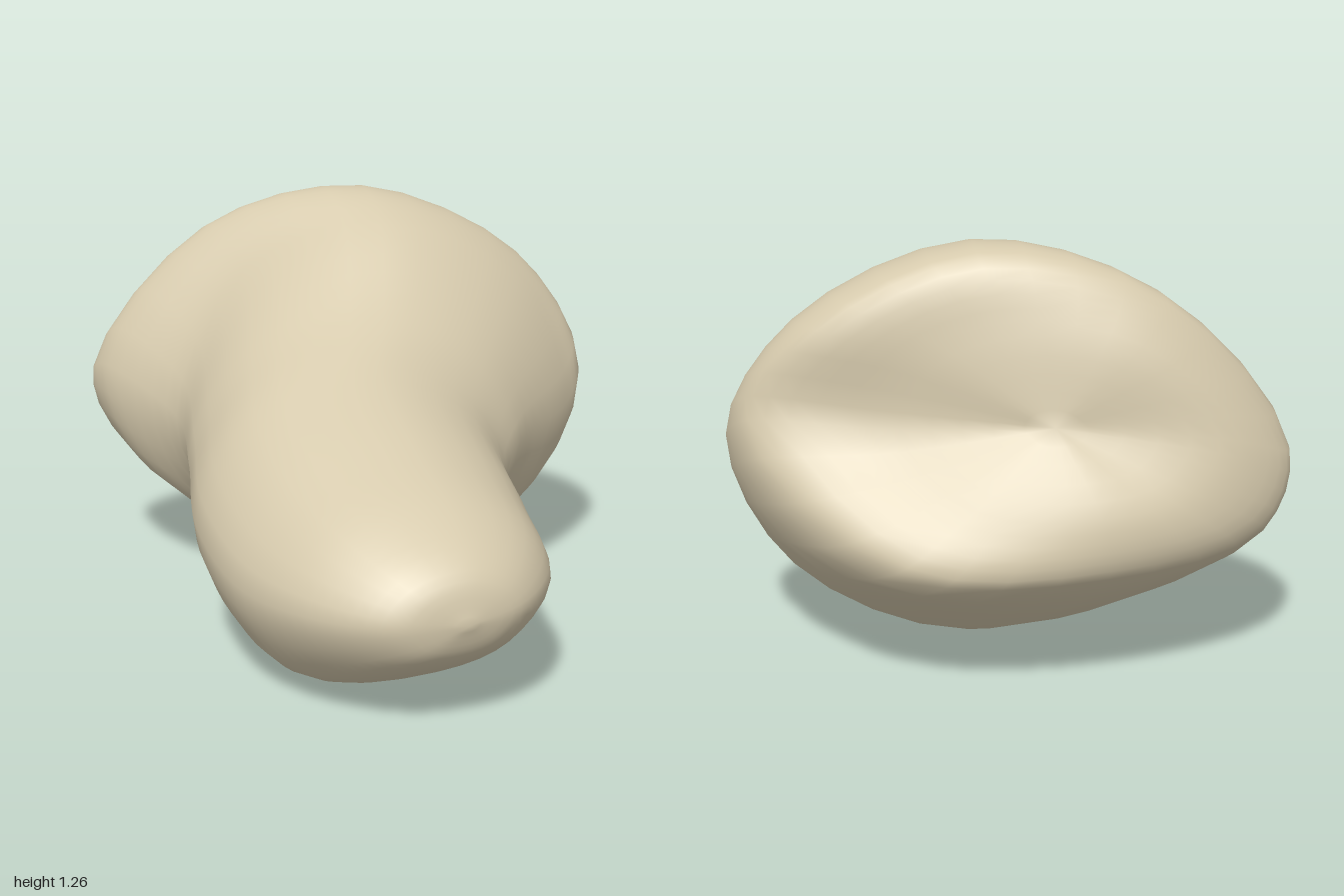
import * as THREE from 'three';
import { mergeVertices } from 'three/addons/utils/BufferGeometryUtils.js';

const AROUND = 32, ALONG = 55;

// Unit outline of the shaft, starting on the +x side and going over the top
const outline = [[1, 0], [.77, .64], [.16, 1], [-.62, .72], [-1, -.06], [-.68, -.85], [.04, -1], [.64, -.72]];

// Shaft stations: z, centre x and y, half width, half height, sideways slant in z
const shaft = [
  [.955, -.195, .33, .2, .115, 0],
  [.78, -.2, .335, .365, .23, 0],
  [.5, -.215, .345, .455, .338, 0],
  [.15, -.19, .43, .5, .4, 0],
  [-.055, -.1, .525, .52, .425, .18],
];

// Head loops in the same order: front flare, widest loop, back rim, back face
const head = [
  [[.66, .56, -.15], [.52, .98, -.25], [.08, 1.17, -.32], [-.33, 1.02, -.48], [-.58, .58, -.42], [-.43, .22, -.38], [0, .06, -.25], [.38, .17, -.15]],
  [[.76, .66, -.26], [.59, 1.03, -.4], [.1, 1.25, -.5], [-.36, 1.13, -.7], [-.73, .69, -.74], [-.62, .35, -.68], [.08, .02, -.38], [.58, .26, -.3]],
  [[.73, .76, -.43], [.55, 1.03, -.52], [.12, 1.23, -.64], [-.38, 1.1, -.78], [-.74, .66, -.84], [-.64, .46, -.91], [-.15, .39, -.975], [.42, .42, -.84]],
  [[.38, .76, -.62], [.28, .96, -.66], [.05, 1.05, -.74], [-.27, 1, -.85], [-.52, .74, -.93], [-.42, .6, -.975], [-.13, .55, -.99], [.22, .57, -.86]],
];

// Smooth closed ring through a loop of points
function makeRing(points) {
  const curve = new THREE.CatmullRomCurve3(points.map((p) => new THREE.Vector3(...p)), true);
  return Array.from({ length: AROUND }, (_, i) => curve.getPoint(i / AROUND));
}

function createBone() {
  const tip = new THREE.Vector3(-.18, .32, 1);
  const hollow = new THREE.Vector3(-.04, .79, -.83);

  const shaftLoops = shaft.map(([z, cx, cy, a, b, slant]) =>
    outline.map(([u, v]) => [cx + a * u, cy + b * v, z + slant * a * u]));
  const rings = [...shaftLoops, ...head].map(makeRing);

  // Lengthwise curves through the rings, closed at the tip and in the hollow
  const positions = [], index = [];
  const at = (i, j) => (i % AROUND) * (ALONG + 1) + j;
  for (let i = 0; i < AROUND; i++) {
    const curve = new THREE.CatmullRomCurve3([tip, ...rings.map((r) => r[i]), hollow]);
    for (let j = 0; j <= ALONG; j++) positions.push(...curve.getPoint(j / ALONG).toArray());
    for (let j = 0; j < ALONG; j++) {
      const a = at(i, j), b = at(i, j + 1), c = at(i + 1, j + 1), d = at(i + 1, j);
      index.push(a, b, d, b, c, d);
    }
  }
  const geometry = new THREE.BufferGeometry();
  geometry.setAttribute('position', new THREE.Float32BufferAttribute(positions, 3));
  geometry.setIndex(index);
  const merged = mergeVertices(geometry, 1e-4);
  merged.computeVertexNormals();
  return merged;
}

export function createModel() {
  const group = new THREE.Group();
  group.name = 'bone';
  const boneColor = new THREE.MeshStandardMaterial({ color: 0xd6caad });
  boneColor.name = 'bone beige';
  const bone = new THREE.Mesh(createBone(), boneColor);
  bone.name = 'shaftAndHead';
  group.add(bone);
  return group;
}
